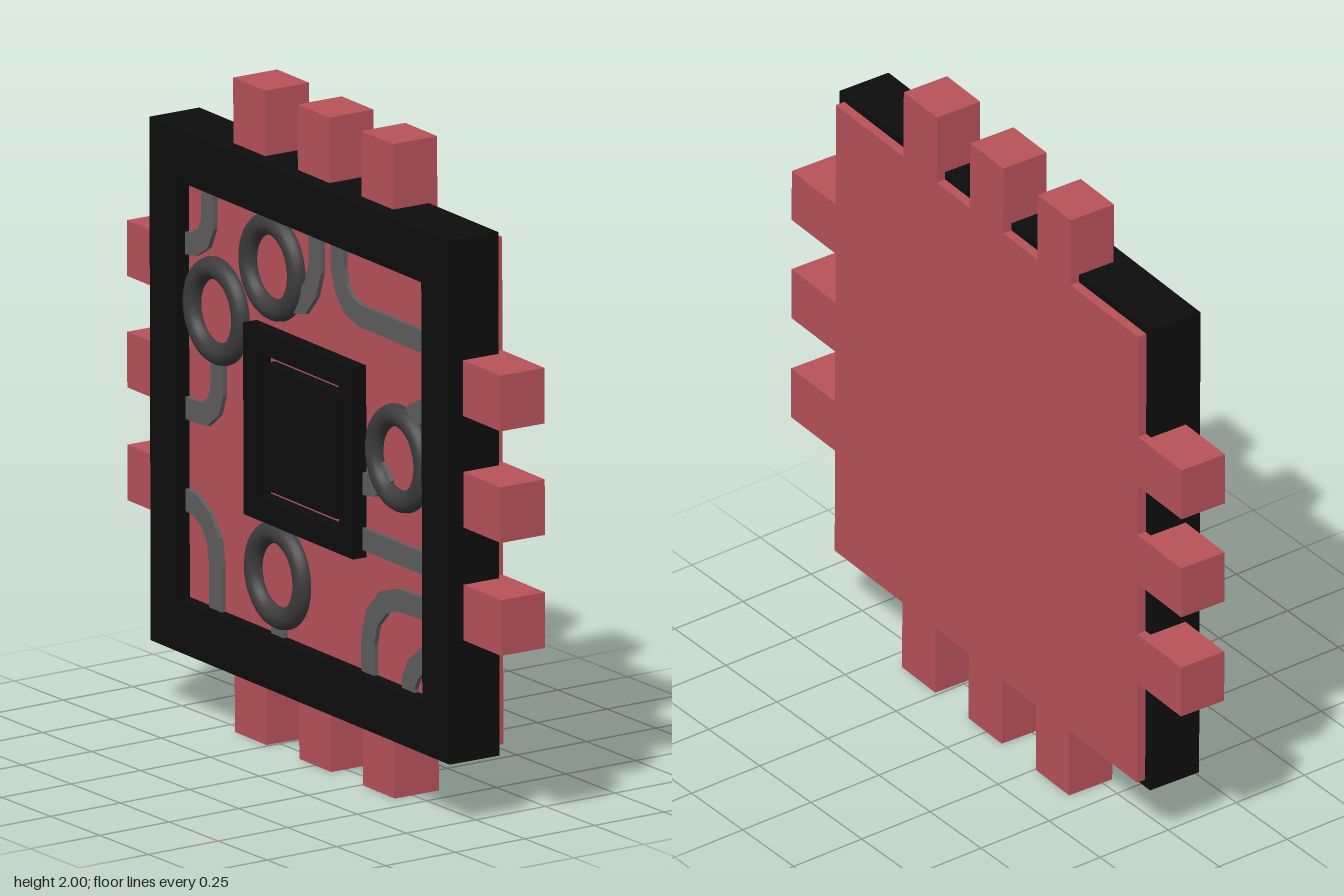
import * as THREE from 'three';

const RED = new THREE.MeshStandardMaterial({ color: 0xb8525a });
const BLACK = new THREE.MeshStandardMaterial({ color: 0x0d0d0d });
const GREY = new THREE.MeshStandardMaterial({ color: 0x5e5e5e });
const DARK = new THREE.MeshStandardMaterial({ color: 0x3c3c3c });

const BACK = -0.103, FLOOR = 0.06;

export function createModel() {
  const model = new THREE.Group();
  model.name = 'circuitChip';
  // Built around the board's centre, then tipped very slightly
  const board = new THREE.Group();
  board.name = 'board';
  board.position.y = 1;
  board.rotation.set(0.003, -0.033, 0);
  model.add(board);

  const add = (name, geometry, material) => {
    const mesh = new THREE.Mesh(geometry, material);
    mesh.name = name;
    board.add(mesh);
    return mesh;
  };
  const box = (name, w, h, z0, z1, x, y, material) =>
    add(name, new THREE.BoxGeometry(w, h, z1 - z0), material).position.set(x, y, (z0 + z1) / 2);
  const rect = (P, w, h) => new P([[-w, -h], [w, -h], [w, h], [-w, h]].map(([x, y]) => new THREE.Vector2(x, y)));
  const extrude = (name, shape, z0, z1, material) => {
    const g = new THREE.ExtrudeGeometry(shape, { depth: z1 - z0, bevelEnabled: false });
    return add(name, g.translate(0, 0, z0), material);
  };
  const ring = (name, w, h, iw, ih, z0, z1) => {
    const s = rect(THREE.Shape, w, h);
    s.holes.push(rect(THREE.Path, iw, ih));
    return extrude(name, s, z0, z1, BLACK);
  };

  // Base plate and surrounding frame
  box('basePlate', 1.55, 1.55, BACK, FLOOR, 0, 0, RED);
  ring('outerFrame', 0.8, 0.8, 0.655, 0.64, -0.073, 0.103);

  // Three contact pins on every side
  for (const t of [-0.343, 0.002, 0.343]) {
    for (const s of [-1, 1]) {
      box('contactPin', 0.17, 0.24, BACK, 0.052, t, s * 0.88, RED);
      box('contactPin', 0.24, 0.17, BACK, 0.052, s * 0.88, t, RED);
    }
  }

  // Central processor: raised rim with a block inside
  ring('processorRim', 0.293, 0.293, 0.218, 0.22, FLOOR - 0.01, 0.108);
  box('processorBlock', 0.385, 0.385, FLOOR - 0.01, 0.1, 0, -0.002, BLACK);

  // Ring components, half sunk into the plate
  for (const [x, y] of [[-0.193, 0.48], [-0.493, 0.273], [0.482, 0.055], [-0.168, -0.457]]) {
    add('ringComponent', new THREE.TorusGeometry(0.13, 0.034, 16, 48), DARK).position.set(x, y, FLOOR + 0.004);
  }

  // Flat conductor strips: a polyline widened with mitred joints
  const strip = (coords, half = 0.034) => {
    const pts = coords.map(([x, y]) => new THREE.Vector2(x, y));
    const left = [], right = [];
    pts.forEach((p, i) => {
      const a = pts[Math.max(i - 1, 0)], b = pts[Math.min(i + 1, pts.length - 1)];
      const d1 = (i ? p.clone().sub(a) : b.clone().sub(p)).normalize();
      const d2 = (i < pts.length - 1 ? b.clone().sub(p) : d1.clone()).normalize();
      const t = d1.clone().add(d2).normalize();
      const n = new THREE.Vector2(-t.y, t.x).multiplyScalar(half / t.dot(d1));
      left.push(p.clone().add(n));
      right.unshift(p.clone().sub(n));
    });
    extrude('conductorStrip', new THREE.Shape([...left, ...right]), FLOOR - 0.01, FLOOR + 0.014, GREY);
  };
  [
    [[-0.535, 0.68], [-0.535, 0.53], [-0.56, 0.48], [-0.61, 0.45], [-0.68, 0.44]],
    [[0.04, 0.68], [0.04, 0.53], [0.015, 0.46], [-0.03, 0.41], [-0.08, 0.4]],
    [[0.16, 0.68], [0.16, 0.56], [0.18, 0.5], [0.22, 0.46], [0.28, 0.443], [0.68, 0.443]],
    [[-0.487, 0.14], [-0.487, 0.03], [-0.505, -0.02], [-0.55, -0.055], [-0.6, -0.06], [-0.68, -0.06]],
    [[0.68, 0.245], [0.62, 0.235], [0.56, 0.205], [0.52, 0.15]],
    [[0.27, -0.07], [0.34, -0.06], [0.39, -0.03], [0.42, 0]],
    [[0.27, -0.235], [0.68, -0.235]],
    [[0.68, -0.37], [0.48, -0.378], [0.4, -0.405], [0.34, -0.465], [0.318, -0.54], [0.318, -0.66]],
    [[0.68, -0.51], [0.62, -0.525], [0.56, -0.57], [0.535, -0.62], [0.535, -0.66]],
    [[-0.68, -0.34], [-0.61, -0.345], [-0.55, -0.375], [-0.51, -0.43], [-0.497, -0.5], [-0.497, -0.66]],
    [[-0.165, -0.57], [-0.165, -0.66]],
  ].forEach((path) => strip(path));

  return model;
}
